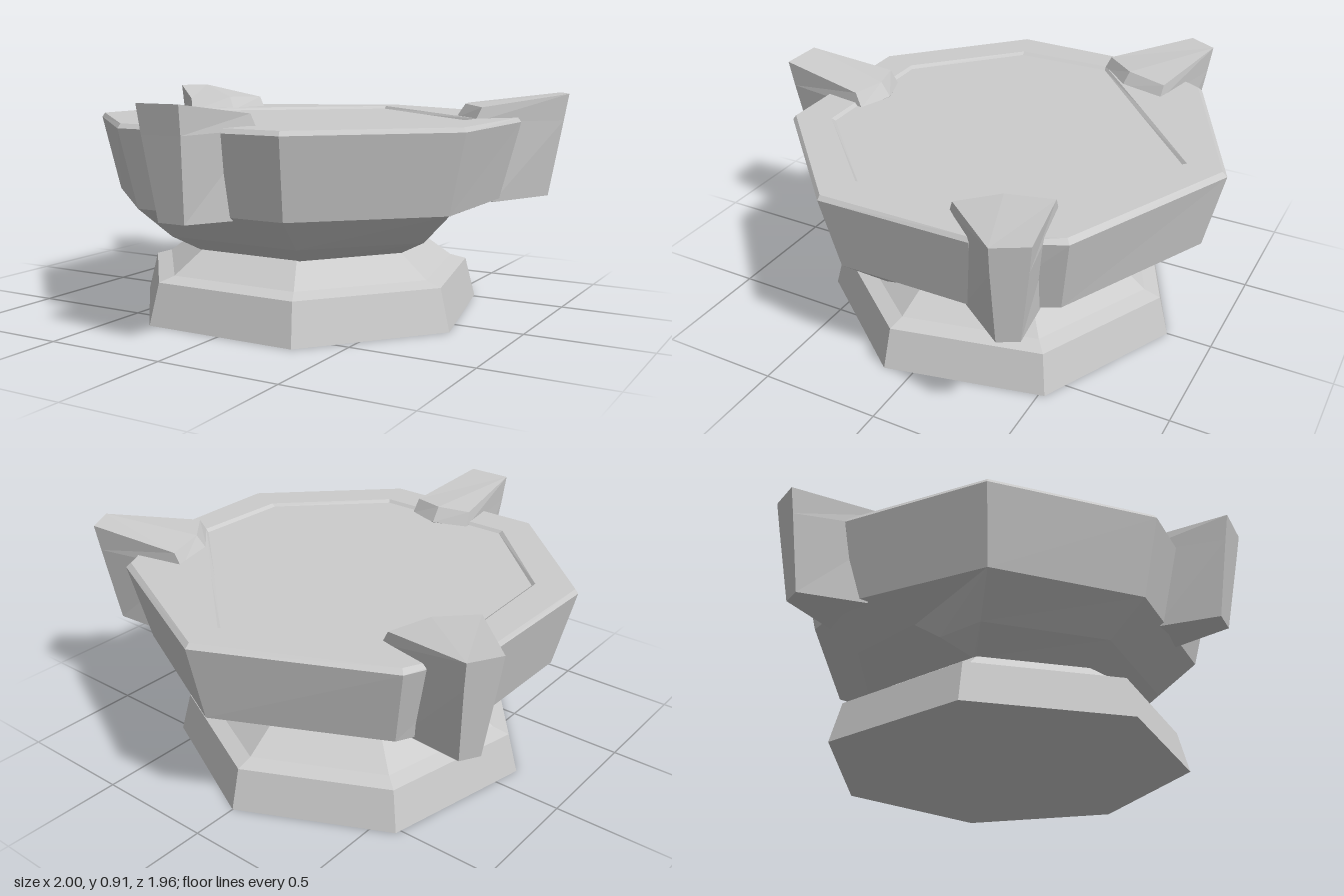
import * as THREE from 'three';

const grey = new THREE.MeshStandardMaterial({ color: 0xcccccc, flatShading: true });
const greyOpen = new THREE.MeshStandardMaterial({ color: 0xcccccc, flatShading: true, side: THREE.DoubleSide });

// Skins a stack of rings, lowest first, each running counterclockwise seen from above
function loft(name, rings, material = grey, closed = true) {
  const pos = [];
  const tri = (...pts) => pts.forEach((p) => pos.push(...p));
  const n = rings[0].length;
  for (let r = 0; r + 1 < rings.length; r++) {
    const a = rings[r], b = rings[r + 1];
    for (let i = 0; i < (closed ? n : n - 1); i++) {
      const j = (i + 1) % n;
      tri(a[i], a[j], b[j]);
      tri(a[i], b[j], b[i]);
    }
  }
  if (closed) {
    const low = rings[0], top = rings[rings.length - 1];
    for (let i = 1; i + 1 < n; i++) {
      tri(low[0], low[i + 1], low[i]);
      tri(top[0], top[i], top[i + 1]);
    }
  }
  const geo = new THREE.BufferGeometry();
  geo.setAttribute('position', new THREE.Float32BufferAttribute(pos, 3));
  geo.computeVertexNormals();
  const mesh = new THREE.Mesh(geo, material);
  mesh.name = name;
  return mesh;
}

// Seven-sided ring with a flat front edge and a point at the back
function heptagon(radius, y) {
  return Array.from({ length: 7 }, (_, i) => {
    const a = ((i + 0.5) / 7) * Math.PI * 2;
    return [radius * Math.sin(a), y, radius * Math.cos(a) - 0.05];
  });
}

// Mirrors an [x, z] half outline (front to back); the back point lies on the centre line
function mirrored(y, half, back) {
  const left = half.map(([x, z]) => [x, y, z]);
  const right = half.map(([x, z]) => [-x, y, z]).reverse();
  return back === undefined ? [...right, ...left] : [...left, [0, y, back], ...right];
}

// Tapered claw pointing outwards along +z
function claw(name, wIn, wOut, shift) {
  const ring = (yOut, zOut, wo, yIn, zIn, wi, zPoint) => [
    [-wo, yOut, zOut + shift], [wo, yOut, zOut + shift],
    [wi, yIn, zIn + shift], [0, yIn + 0.005, zPoint + shift], [-wi, yIn, zIn + shift],
  ];
  return loft(name, [
    ring(0.48, 0.91, wOut * 0.62, 0.465, 0.66, wIn * 0.74, 0.63),
    ring(0.80, 0.962, wOut * 0.93, 0.80, 0.57, wIn, 0.52),
    ring(0.91, 0.98, wOut, 0.86, 0.60, wIn * 0.94, 0.56),
  ]);
}

export function createModel() {
  const group = new THREE.Group();

  // Stepped foot
  group.add(loft('base', [
    heptagon(0.76, 0), heptagon(0.715, 0.17), heptagon(0.645, 0.19), heptagon(0.515, 0.285),
  ]));

  // Nine-sided bowl with a bevelled underside and rim
  group.add(loft('bowl', [
    mirrored(0.41, [[0.25, 0.5], [0.6, 0.18], [0.62, -0.15], [0.5, -0.48]], -0.73),
    mirrored(0.48, [[0.33, 0.69], [0.785, 0.25], [0.78, -0.33], [0.64, -0.6]], -0.91),
    mirrored(0.797, [[0.36, 0.765], [0.857, 0.28], [0.85, -0.34], [0.705, -0.65]], -0.98),
    mirrored(0.815, [[0.355, 0.752], [0.845, 0.276], [0.84, -0.34], [0.69, -0.635]], -0.96),
    mirrored(0.815, [[0.31, 0.605], [0.7, 0.22], [0.715, -0.19], [0.36, -0.505]], -0.82),
    mirrored(0.803, [[0.3, 0.593], [0.685, 0.22], [0.7, -0.19], [0.35, -0.495]], -0.805),
  ]));

  // Neck wall joining foot and bowl around the front only
  const neck = [
    mirrored(0.28, [[0.23, 0.41], [0.5, 0.06], [0.5, 0.05]]),
    mirrored(0.35, [[0.29, 0.53], [0.64, 0.15], [0.59, -0.05]]),
    mirrored(0.48, [[0.33, 0.69], [0.785, 0.25], [0.62, -0.15]]),
  ];
  neck[2][0][1] = neck[2][5][1] = 0.412;
  group.add(loft('neck', neck, greyOpen, false));

  // Three claws gripping the rim
  group.add(claw('frontClaw', 0.145, 0.093, 0));
  for (const [name, side] of [['leftClaw', 1], ['rightClaw', -1]]) {
    const c = claw(name, 0.195, 0.07, 0.135);
    c.rotation.y = (side * Math.PI * 2) / 3;
    group.add(c);
  }
  return group;
}
